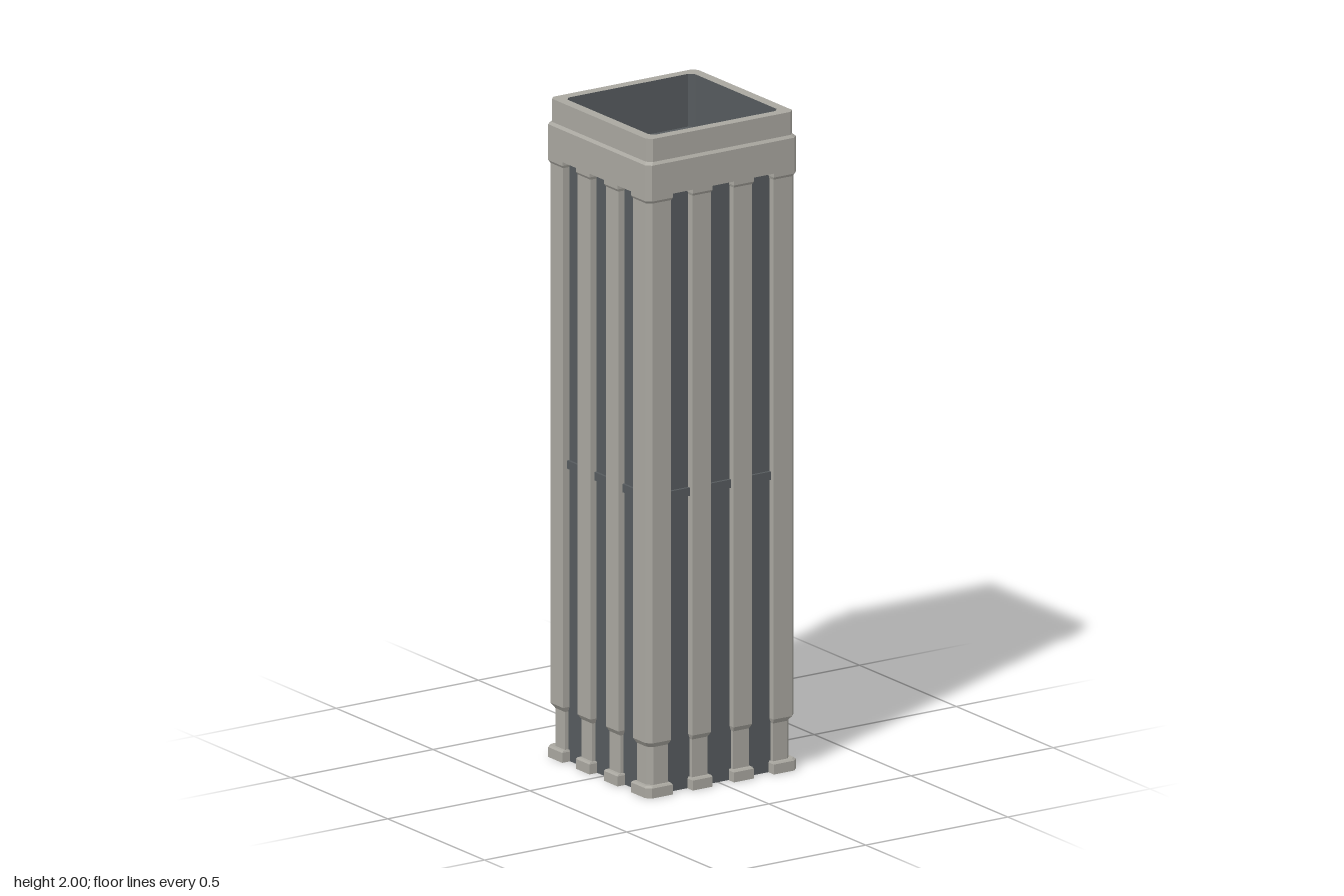
import * as THREE from 'three';

const CHAMFER = 0.015;
const CORE = 0.235; // plane at the back of the recesses
const RECESSES = [[-0.18, -0.105], [-0.04, 0.04], [0.105, 0.18]];

// Chamfered square outline, counter-clockwise, optionally notched on each side
function outline(half, notched) {
  const side = [[half, CHAMFER - half]];
  const grow = (half - 0.26) / 2;
  if (notched) {
    for (const [a, b] of RECESSES) {
      side.push([half, a + grow], [CORE, a + grow], [CORE, b - grow], [half, b - grow]);
    }
  }
  side.push([half, half - CHAMFER]);
  const points = [];
  for (let k = 0; k < 4; k++) {
    for (const [u, v] of side) {
      points.push(new THREE.Vector2(u, v).rotateAround(new THREE.Vector2(), k * Math.PI / 2));
    }
  }
  return points;
}

// Faceted skin through [height, halfWidth] levels, with optional end caps
function loft(levels, { notched = false, capStart = false, capEnd = false } = {}) {
  const rings = levels.map(([, half]) => outline(half, notched));
  const pos = [];
  const put = (l, i) => {
    const p = rings[l][i % rings[l].length];
    pos.push(p.x, levels[l][0], -p.y);
  };
  for (let l = 0; l < levels.length - 1; l++) {
    for (let i = 0; i < rings[l].length; i++) {
      put(l, i); put(l, i + 1); put(l + 1, i + 1);
      put(l, i); put(l + 1, i + 1); put(l + 1, i);
    }
  }
  const cap = (l, up) => {
    for (const [a, b, c] of THREE.ShapeUtils.triangulateShape(rings[l], [])) {
      for (const i of up ? [a, b, c] : [c, b, a]) put(l, i);
    }
  };
  if (capStart) cap(0, false);
  if (capEnd) cap(levels.length - 1, true);
  const geometry = new THREE.BufferGeometry();
  geometry.setAttribute('position', new THREE.Float32BufferAttribute(pos, 3));
  geometry.computeVertexNormals();
  return geometry;
}

export function createModel() {
  const model = new THREE.Group();
  model.name = 'tower';
  const stone = new THREE.MeshStandardMaterial({ name: 'stone', color: 0xa9a7a0 });
  const slate = new THREE.MeshStandardMaterial({ name: 'darkSlate', color: 0x565b5e });

  const add = (parent, name, geometry, material) => {
    const mesh = new THREE.Mesh(geometry, material);
    mesh.name = name;
    parent.add(mesh);
    return mesh;
  };

  // Piers with plinth feet, slimmer lower shafts and small top brackets
  add(model, 'piers', loft([
    [0, 0.265], [0.03, 0.265], [0.035, 0.26], [0.035, 0.25], [0.15, 0.25],
    [0.165, 0.26], [1.805, 0.26], [1.813, 0.265], [1.825, 0.265],
  ], { notched: true, capStart: true }), stone);

  // Crown band and parapet
  add(model, 'crown', loft([
    [1.825, 0.265], [1.922, 0.265], [1.93, 0.257], [2, 0.257], [2, 0.225],
  ], { capStart: true }), stone);

  // Sunken roof: inner parapet walls running down to the deck
  add(model, 'roofWell', loft([[2, 0.225], [1.84, 0.225]], { capEnd: true }), slate);

  // Dark window strips with a narrow belt at mid height
  for (let k = 0; k < 4; k++) {
    const facade = new THREE.Group();
    facade.name = 'facade';
    facade.rotation.y = k * Math.PI / 2;
    for (const [a, b] of RECESSES) {
      const x = (a + b) / 2;
      const width = b - a;
      add(facade, 'windowStrip', new THREE.BoxGeometry(width + 0.012, 1.824, 0.006), slate)
        .position.set(x, 0.9125, CORE);
      add(facade, 'windowBelt', new THREE.BoxGeometry(width, 0.025, 0.016), slate)
        .position.set(x, 0.9025, CORE + 0.003);
    }
    model.add(facade);
  }
  return model;
}
